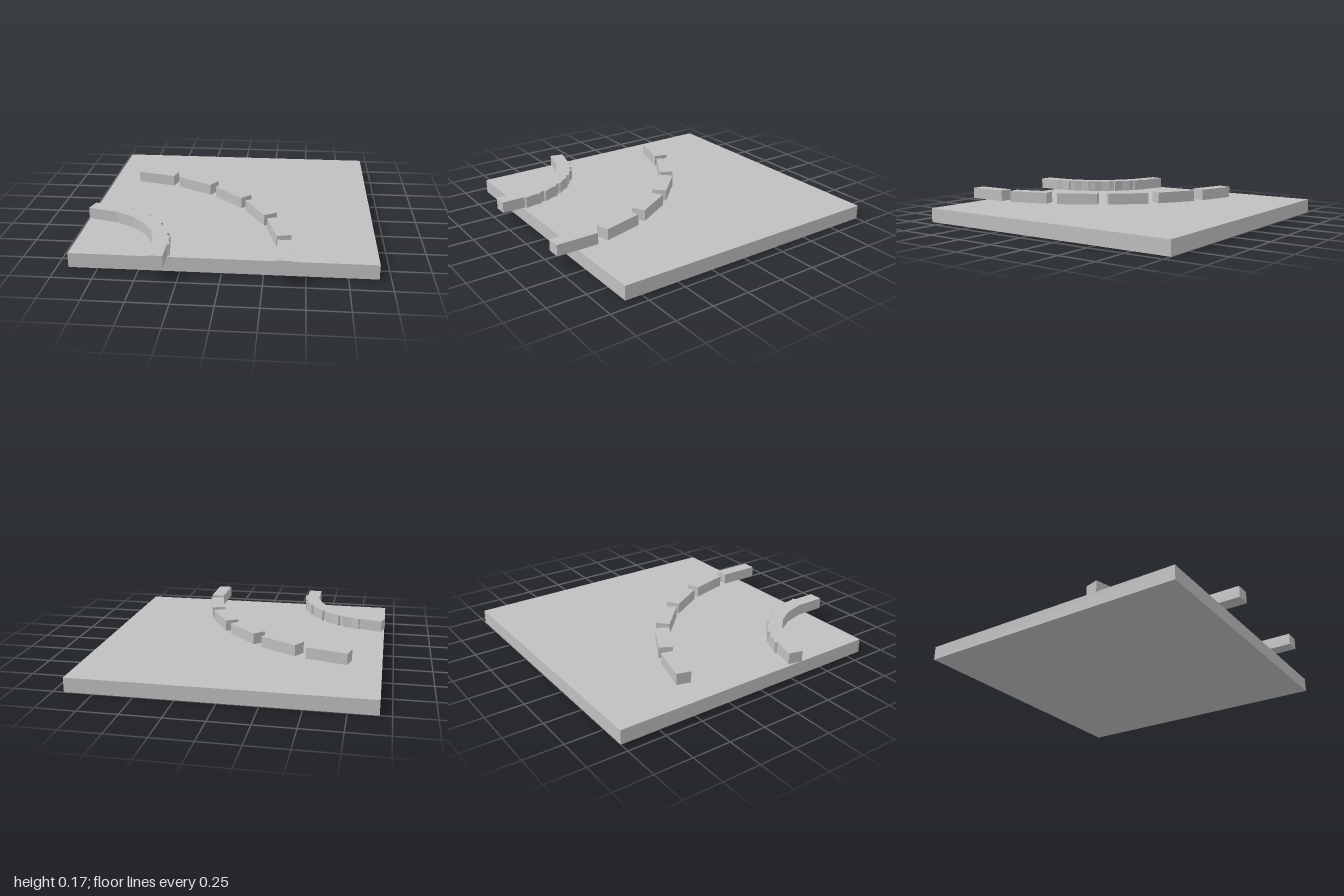
import * as THREE from 'three';

const stone = new THREE.MeshStandardMaterial({ color: 0xc0c0c0 });
stone.name = 'plain grey';

const BASE_TOP = 0.093;
const BLOCK = { width: 0.093, height: 0.075, length: 0.279 };
const PIVOT = { x: -0.93, z: 0.86 }; // front right corner of the slab

function box(name, w, h, d, x, y, z) {
  const mesh = new THREE.Mesh(new THREE.BoxGeometry(w, h, d), stone);
  mesh.name = name;
  mesh.position.set(x, y, z);
  return mesh;
}

// Six straight blocks, 15 degrees apart, tangent to an arc around the corner
function kerb(name, radius) {
  const group = new THREE.Group();
  group.name = name;
  for (let i = 0; i < 6; i++) {
    const a = (i * Math.PI) / 12;
    const block = box(
      `${name}Block${i + 1}`, BLOCK.width, BLOCK.height, BLOCK.length,
      PIVOT.x + radius * Math.cos(a),
      BASE_TOP + BLOCK.height / 2,
      PIVOT.z - radius * Math.sin(a)
    );
    block.rotation.y = a;
    group.add(block);
  }
  return group;
}

export function createModel() {
  const model = new THREE.Group();
  model.name = 'curvedTrackTile';
  // Square slab
  model.add(box('baseSlab', 1.86, BASE_TOP, 1.86, 0, BASE_TOP / 2, -0.07));
  // Inner blocks overlap into a continuous kerb, outer ones stand apart
  model.add(kerb('innerKerb', 0.558), kerb('outerKerb', 1.302));
  return model;
}
